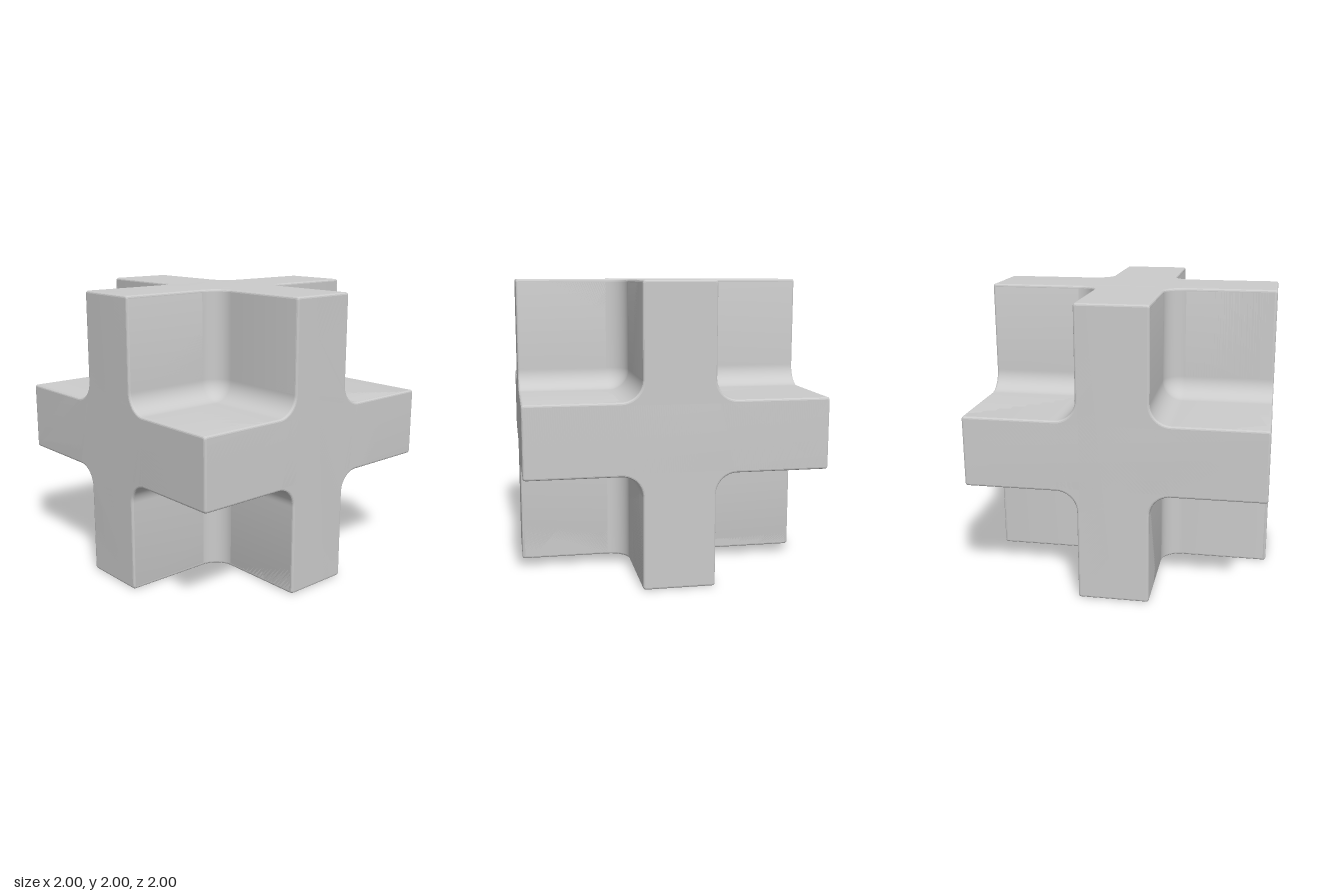
import * as THREE from 'three';
import { toCreasedNormals } from 'three/addons/utils/BufferGeometryUtils.js';

const HALF = 0.24;   // half thickness of each arm
const FILLET = 0.14; // radius of the inner corners
const ROUND = 0.02;  // radius of the outer corners
const BEVEL = 0.015; // softened rim of the end faces

// Plus outline: rounded arm tips and filleted inner corners, turned four times
function plusShape() {
  const shape = new THREE.Shape();
  const arc = (x, y, radius, from, to, turn, clockwise) => {
    const c = Math.cos(turn), s = Math.sin(turn);
    shape.absarc(x * c - y * s, x * s + y * c, radius, from + turn, to + turn, clockwise);
  };
  const q = Math.PI / 2;
  for (let i = 0; i < 4; i++) {
    const turn = i * q;
    arc(1 - ROUND, HALF - ROUND, ROUND, 0, q, turn, false);
    arc(HALF + FILLET, HALF + FILLET, FILLET, 3 * q, 2 * q, turn, true);
    arc(HALF - ROUND, 1 - ROUND, ROUND, 0, q, turn, false);
  }
  return shape;
}

export function createModel() {
  const group = new THREE.Group();
  group.name = 'interlockedCross';
  const material = new THREE.MeshStandardMaterial({ color: 0xcccccc });
  const inner = new THREE.MeshStandardMaterial({ color: 0xcccccc, side: THREE.DoubleSide });

  // Three plus-shaped prisms, one along each axis
  let prism = new THREE.ExtrudeGeometry(plusShape(), {
    depth: 2 - 2 * BEVEL, curveSegments: 8,
    bevelEnabled: true, bevelSize: BEVEL, bevelThickness: BEVEL,
    bevelOffset: -BEVEL, bevelSegments: 3,
  });
  prism.translate(0, 0, BEVEL - 1);
  prism = toCreasedNormals(prism, 0.25);
  const axes = [
    ['plusPrismZ', 0, 0],
    ['plusPrismX', 0, Math.PI / 2],
    ['plusPrismY', Math.PI / 2, 0],
  ];
  for (const [name, rx, ry] of axes) {
    const mesh = new THREE.Mesh(prism, material);
    mesh.name = name;
    mesh.rotation.set(rx, ry, 0);
    mesh.position.y = 1;
    group.add(mesh);
  }

  // Hollow ball corner where three fillets meet, in each of the eight pockets
  const ball = new THREE.SphereGeometry(FILLET, 16, 16, 0, Math.PI / 2, 0, Math.PI / 2);
  const c = HALF + FILLET;
  for (const sx of [-1, 1]) for (const sy of [-1, 1]) for (const sz of [-1, 1]) {
    const corner = new THREE.Mesh(ball, inner);
    corner.name = 'pocketCorner';
    corner.scale.set(sx, -sy, -sz);
    corner.position.set(sx * c, 1 + sy * c, sz * c);
    group.add(corner);
  }
  return group;
}
